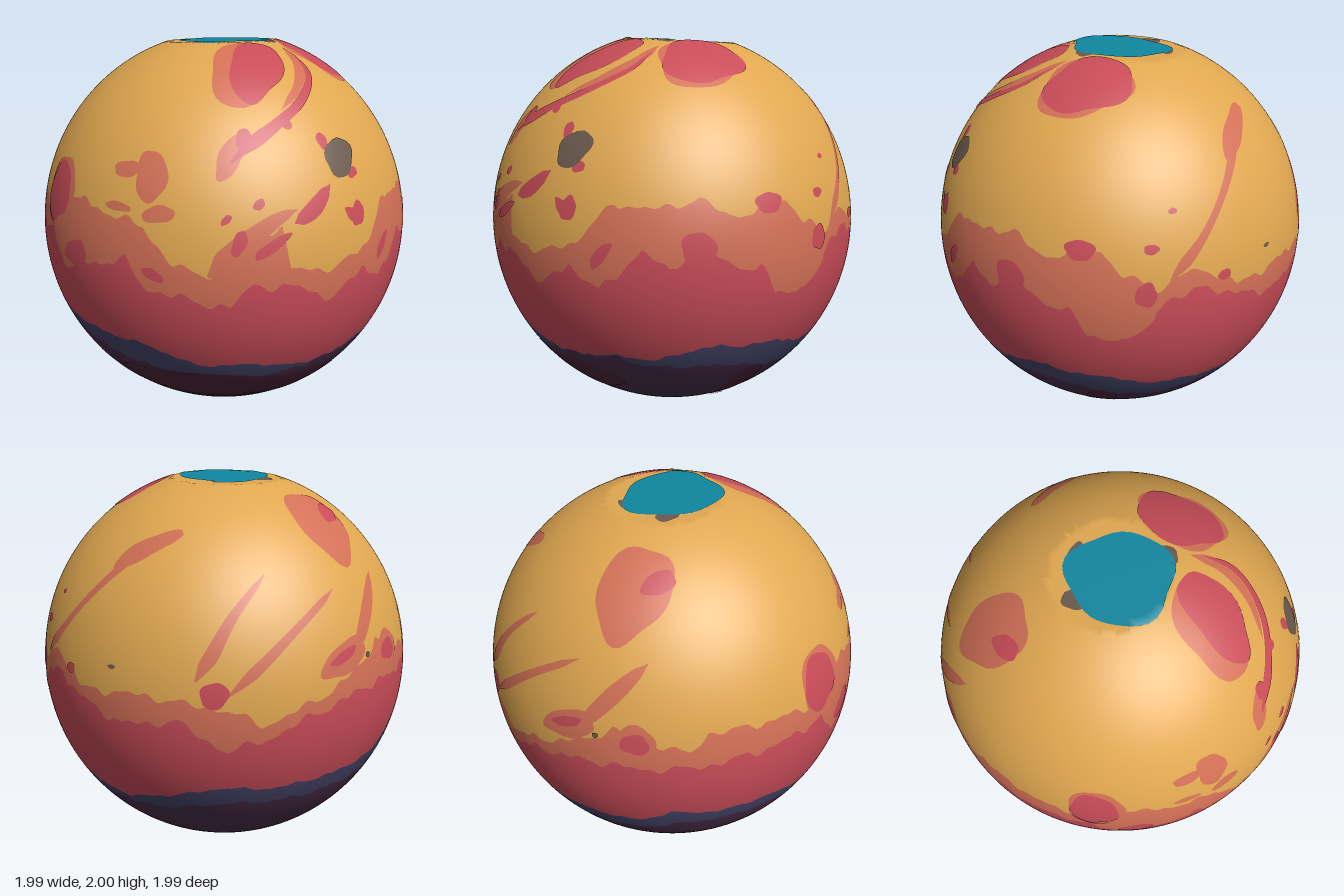
import * as THREE from 'three';

const paint = (name, color) => Object.assign(new THREE.MeshStandardMaterial({ color }), { name });
const amber = paint('amber', 0xe0a750);
const coral = paint('coral', 0xd27056);
const red = paint('red', 0xc84c58);
const purple = paint('purple', 0x4a2e4a);
const navy = paint('navy', 0x46456a);
const maroon = paint('maroon', 0x4c2438);
const teal = paint('teal', 0x0f87a0);
const brown = paint('brown', 0x6a594d);

const RAD = Math.PI / 180, UP = 1.025, DOWN = 1.01;
const cutNormal = new THREE.Vector3(0, 1, -0.055).normalize();

// Point and normal of the round body for a unit direction; the top is cut by a tilted plane
function surface(d, off) {
  const ry = d.y > 0 ? UP : DOWN;
  const p = new THREE.Vector3(d.x * 0.995, 1 + d.y * ry, d.z * 0.995);
  let n = new THREE.Vector3(d.x, d.y / ry, d.z).normalize();
  const cut = 1.982 + 0.055 * p.z;
  if (p.y > cut) { p.y = cut; n = cutNormal; }
  p.y = Math.max(p.y, 0.003);
  return [p.addScaledVector(n, off), n];
}

// Mesh over a grid of directions on the body
function skin(parent, name, mat, nu, nv, dirAt, off = 0) {
  const pos = [], nor = [], idx = [];
  for (let j = 0; j <= nv; j++) for (let i = 0; i <= nu; i++) {
    const [p, n] = surface(dirAt(i / nu, j / nv), off);
    pos.push(p.x, p.y, p.z);
    nor.push(n.x, n.y, n.z);
    if (i < nu && j < nv) {
      const a = j * (nu + 1) + i, b = a + nu + 1;
      idx.push(a, a + 1, b + 1, a, b + 1, b);
    }
  }
  const g = new THREE.BufferGeometry();
  g.setAttribute('position', new THREE.Float32BufferAttribute(pos, 3));
  g.setAttribute('normal', new THREE.Float32BufferAttribute(nor, 3));
  g.setIndex(idx);
  const m = new THREE.Mesh(g, mat);
  m.name = name;
  parent.add(m);
}

// Edge height around the body, from [degrees, height] pairs plus a fine ripple
function edge(table, ripple) {
  const [a0, h0] = table[0];
  const t = [...table, [a0 + 360, h0]];
  return (deg) => {
    const i = Math.max(0, t.findIndex((q, k) => k < t.length - 1 && deg <= t[k + 1][0]));
    const f = (deg - t[i][0]) / (t[i + 1][0] - t[i][0]);
    const s = deg * RAD;
    return THREE.MathUtils.lerp(t[i][1], t[i + 1][1], f)
      + ripple * (Math.sin(23 * s) + 0.7 * Math.sin(41 * s + 1) + 0.5 * Math.sin(67 * s + 2));
  };
}

const polar = (h) => {
  const y = (h - 1) / (h > 1 ? UP : DOWN);
  return Math.acos(THREE.MathUtils.clamp(y, -1, 1));
};

function band(parent, name, mat, low, high, rows) {
  skin(parent, name, mat, 360, rows, (u, v) => {
    const deg = u * 360;
    const t = THREE.MathUtils.lerp(polar(low(deg)), polar(high(deg)), v);
    return new THREE.Vector3().setFromSphericalCoords(1, t, deg * RAD);
  });
}

// Projects flat coordinates onto the body from a given azimuth and elevation
function aim(az, el) {
  const turn = new THREE.Euler(-el * RAD, az * RAD, 0, 'YXZ');
  return (u, v) => {
    const k = Math.min(1, 0.995 / Math.hypot(u, v));
    u *= k; v *= k;
    return new THREE.Vector3(u, v, Math.sqrt(1 - u * u - v * v)).applyEuler(turn);
  };
}

// Blobs: [material, u, v, radiusU, radiusV, tilt, layer]
function blobs(parent, name, to, list) {
  list.forEach(([mat, cu, cv, ru, rv, tilt = 0, layer = 1], k) => {
    const c = Math.cos(tilt * RAD), s = Math.sin(tilt * RAD);
    skin(parent, name, mat, 6, 36, (r, t) => {
      const w = t * 2 * Math.PI;
      const q = r * (1 + 0.06 * Math.sin(3 * w + k) + 0.04 * Math.sin(5 * w + 2 * k));
      const x = q * ru * Math.cos(w), y = q * rv * Math.sin(w);
      return to(cu + x * c - y * s, cv + x * s + y * c);
    }, 0.002 * layer);
  });
}

// Streak along points [u, v, halfWidth]
function streak(parent, name, to, mat, pts, layer = 1) {
  const curve = new THREE.CatmullRomCurve3(pts.map((p) => new THREE.Vector3(...p)));
  skin(parent, name, mat, 30, 4, (u, v) => {
    const p = curve.getPoint(u), d = curve.getTangent(u).setZ(0).normalize();
    const w = p.z * (2 * v - 1) * Math.min(1, 0.1 + 6 * Math.min(u, 1 - u));
    return to(p.x - d.y * w, p.y + d.x * w);
  }, 0.002 * layer);
}

export function createModel() {
  const g = new THREE.Group();
  g.name = 'bandedGlobe';

  // Wavy colour bands
  const amberEdge = edge([[0, 1.25], [2, 1.06], [16, 1.03], [28, 1.11], [32, 1.18], [39, 1.3], [52, 1.28],
    [62, 1.33], [70, 1.24], [88, 1.29], [94, 1.18], [103, 1.1], [110, 1.18], [123, 1.12], [127, 1.05],
    [150, 1.08], [172, 1.03], [181, 0.95], [197, 1.05], [209, 1.14], [220, 1.25], [232, 1.2], [241, 1.15],
    [246, 1.25], [265, 1.24], [285, 1.2], [294, 1.32], [322, 1.25], [331, 1.08], [341, 1.05], [349, 1.24]], 0.012);
  const redEdge = edge([[0, 0.98], [4, 0.97], [16, 0.87], [26, 1], [35, 0.89], [47, 1.1], [54, 1], [62, 1.14],
    [70, 1.02], [79, 1], [84, 0.86], [91, 0.84], [99, 0.92], [105, 1.05], [117, 1.08], [127, 1], [142, 0.92],
    [158, 0.97], [172, 0.82], [185, 0.9], [196, 0.98], [213, 1.05], [235, 1.06], [257, 1.09], [275, 1.1],
    [284, 1.1], [291, 0.94], [300, 1], [317, 1.08], [323, 0.96], [336, 0.92], [346, 0.89], [352, 1]], 0.014);
  const darkEdge = edge([[0, 0.51], [15, 0.48], [22, 0.49], [40, 0.53], [49, 0.51], [58, 0.57], [69, 0.6],
    [79, 0.57], [90, 0.57], [100, 0.5], [113, 0.49], [134, 0.45], [151, 0.52], [170, 0.61], [185, 0.59],
    [209, 0.61], [226, 0.63], [236, 0.74], [250, 0.71], [266, 0.72], [275, 0.68], [282, 0.64], [321, 0.63],
    [336, 0.53], [355, 0.54]], 0.006);
  const navyEdge = edge([[0, 0.42], [8, 0.46], [15, 0.47], [38, 0.51], [46, 0.47], [60, 0.47], [75, 0.46],
    [90, 0.39], [107, 0.35], [128, 0.41], [150, 0.43], [170, 0.5], [200, 0.5], [226, 0.52], [240, 0.62],
    [266, 0.62], [285, 0.57], [315, 0.48], [340, 0.42]], 0.008);
  const redTop = (d) => Math.min(redEdge(d), amberEdge(d) - 0.02);
  const navyLow = (d) => Math.min(navyEdge(d), darkEdge(d) - 0.004);
  band(g, 'amberCap', amber, amberEdge, () => 1 + UP, 48);
  band(g, 'coralBand', coral, redTop, amberEdge, 8);
  band(g, 'redBand', red, darkEdge, redTop, 16);
  band(g, 'navyBand', navy, navyLow, darkEdge, 6);
  band(g, 'purpleBase', purple, () => 1 - DOWN, navyLow, 30);

  // Crown: teal disc with brown slivers, and large spots around it
  const top = aim(0, 90);
  blobs(g, 'crownSpot', top, [
    [brown, 0.03, 0.235, 0.07, 0.04], [brown, -0.18, 0.15, 0.05, 0.06], [brown, 0.18, -0.15, 0.05, 0.06],
    [teal, 0, 0, 0.235, 0.252, 0, 2],
    [coral, 0.435, -0.14, 0.18, 0.225, 0], [red, 0.43, -0.125, 0.17, 0.215, 0, 2],
    [coral, -0.02, -0.46, 0.16, 0.24, -38], [red, 0.03, -0.46, 0.125, 0.225, -28, 2],
    [coral, -0.4, 0.475, 0.165, 0.185], [red, -0.46, 0.38, 0.045, 0.08, -20, 2],
    [coral, 0.46, 0.565, 0.16, 0.04, -14],
  ]);
  streak(g, 'crownStreak', top, coral, [[0.24, -0.25, 0.02], [0.27, -0.4, 0.03], [0.2, -0.58, 0.02], [0.08, -0.7, 0.01]]);
  streak(g, 'crownStreak', top, red, [[0.27, -0.3, 0.012], [0.3, -0.46, 0.016], [0.2, -0.64, 0.018],
    [0.02, -0.76, 0.02], [-0.2, -0.83, 0.03]], 2);

  // Front marks
  const front = aim(0, 0);
  blobs(g, 'frontMark', front, [
    [brown, 0.336, 0.5, 0.082, 0.08, 0, 2], [red, 0.255, 0.575, 0.025, 0.04, 30], [red, 0.4, 0.43, 0.03, 0.025],
    [red, 0.41, 0.25, 0.04, 0.055], [red, 0.09, 0.655, 0.025, 0.02], [coral, -0.2, 0.54, 0.045, 0.11, -38],
    [red, -0.13, 0.61, 0.03, 0.045, -40, 2], [coral, -0.54, 0.45, 0.06, 0.11, -20], [coral, -0.63, 0.47, 0.06, 0.03, 20],
    [coral, -0.69, 0.31, 0.05, 0.02], [coral, -0.53, 0.3, 0.07, 0.035, 15], [red, -0.25, 0.29, 0.03, 0.015, 40],
    [red, -0.1, 0.35, 0.03, 0.02, 30], [red, -0.2, 0.19, 0.03, 0.06, -25, 2], [red, -0.05, 0.17, 0.1, 0.025, 30, 2],
    [red, -0.57, 0.03, 0.05, 0.025, -25], [red, -0.88, 0.04, 0.04, 0.07, -15], [red, 0.58, 0.06, 0.025, 0.07, -30],
    [red, -0.45, -0.84, 0.05, 0.025, -50, 3], [maroon, -0.25, -0.65, 0.5, 0.12, -4], [maroon, 0.2, -0.68, 0.22, 0.1, 5],
  ]);
  streak(g, 'frontStreak', front, red, [[0.06, 0.26, 0.02], [0.16, 0.31, 0.04], [0.26, 0.4, 0.02]]);
  streak(g, 'frontStreak', front, coral, [[-0.34, 0.04, 0.06], [-0.18, 0.18, 0.05], [-0.03, 0.28, 0.03], [0.08, 0.32, 0.01]]);

  // Marks on the +x side
  const side = aim(90, 0);
  blobs(g, 'sideMark', side, [
    [red, -0.13, 0.28, 0.07, 0.045], [red, 0.19, 0.285, 0.035, 0.022], [red, -0.89, 0.25, 0.015, 0.04],
    [red, 0.28, 0.435, 0.02, 0.012], [red, 0.17, 0.08, 0.05, 0.06, 0, 2], [red, 0.53, 0.12, 0.03, 0.025, 0, 2],
    [brown, 0.74, 0.18, 0.014, 0.01], [red, -0.47, 0.1, 0.07, 0.08], [coral, 0.57, 0.69, 0.045, 0.07, -15],
    [red, -0.08, -0.88, 0.04, 0.06, 0, 3],
  ]);
  streak(g, 'sideStreak', side, coral, [[0.57, 0.7, 0.03], [0.54, 0.54, 0.02], [0.43, 0.32, 0.02], [0.28, 0.14, 0.04]]);
  streak(g, 'sideStreak', side, coral, [[0.22, 0, 0.02], [0.14, -0.08, 0.03], [0.04, -0.15, 0.02]]);
  streak(g, 'lowerStreak', side, maroon, [[-0.04, -0.58, 0.06], [-0.06, -0.7, 0.08], [-0.08, -0.9, 0.04]]);

  // Marks on the back
  const back = aim(225, 30);
  blobs(g, 'backMark', back, [
    [coral, 0.82, 0.02, 0.08, 0.17, 5], [red, 0.82, 0.01, 0.07, 0.145, 5, 2], [red, -0.83, -0.19, 0.035, 0.06, 15],
    [coral, 0.02, -0.32, 0.1, 0.08], [red, 0.02, -0.33, 0.07, 0.05, 0, 2], [coral, -0.31, -0.28, 0.14, 0.07, 10],
    [red, -0.32, -0.27, 0.08, 0.025, 10, 2], [brown, -0.17, -0.31, 0.015, 0.013, 0, 3],
  ]);
  streak(g, 'backStreak', back, coral, [[-0.53, 0.21, 0.01], [-0.72, 0.08, 0.02], [-0.87, -0.1, 0.03]]);
  streak(g, 'backStreak', back, coral, [[-0.27, 0.03, 0.015], [-0.53, -0.08, 0.02], [-0.8, -0.22, 0.03]]);
  streak(g, 'backStreak', back, coral, [[0.06, 0.05, 0.015], [-0.08, -0.1, 0.04], [-0.25, -0.28, 0.03]]);
  return g;
}
